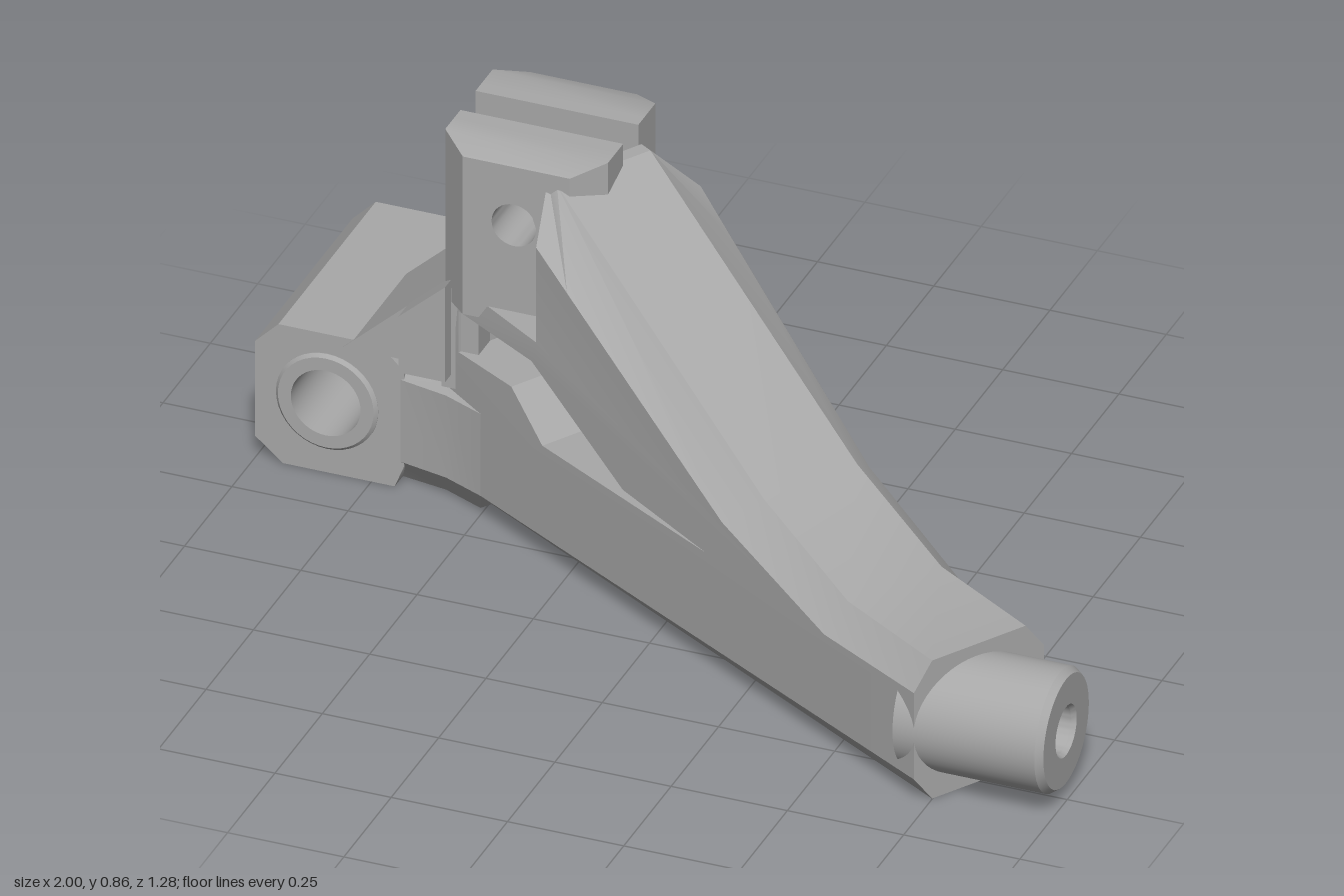
import * as THREE from 'three';
import { toCreasedNormals } from 'three/addons/utils/BufferGeometryUtils.js';

const path = (pts) => pts.map(([x, y]) => new THREE.Vector2(x, y));

const circle = (cx, cy, r, n = 32) =>
  Array.from({ length: n }, (_, i) => {
    const a = (i / n) * Math.PI * 2;
    return [cx + r * Math.cos(a), cy + r * Math.sin(a)];
  });

// Plate of four layers; layers listed in `ends` use the chamfered outline
function chamferPlate(outline, chamfered, hole, layers, ends, rule) {
  const shape = new THREE.Shape(path(outline));
  if (hole) shape.holes.push(new THREE.Path(path(hole)));
  const geo = new THREE.ExtrudeGeometry(shape, { depth: 3, steps: 3, bevelEnabled: false });
  const pos = geo.attributes.position;
  const p = new THREE.Vector3();
  for (let i = 0; i < pos.count; i++) {
    p.fromBufferAttribute(pos, i);
    const k = Math.round(p.z);
    if (ends.includes(k)) {
      const j = outline.findIndex(([x, y]) => Math.hypot(x - p.x, y - p.y) < 1e-4);
      if (j >= 0) [p.x, p.y] = chamfered[j];
    }
    p.z = layers[k];
    if (rule) rule(p, k);
    pos.setXYZ(i, p.x, p.y, p.z);
  }
  return geo;
}

export function createModel() {
  const group = new THREE.Group();
  const grey = new THREE.MeshStandardMaterial({ color: 0xa8a8a8 });
  grey.name = 'grey metal';

  const add = (name, geo) => {
    const mesh = new THREE.Mesh(toCreasedNormals(geo, 0.5), grey);
    mesh.name = name;
    group.add(mesh);
    return mesh;
  };

  // Diagonal arm with its rising web and window, drawn along its length
  const armInner = [[0, 0], [0, 0.32], [-0.285, 0.32], [-0.57, 0.42], [-1.27, 0.81],
    [-1.3, 0.81], [-1.3, 0.5], [-1.56, 0.5], [-1.56, 0]];
  const armOuter = [[0, 0.06], [0, 0.26], [-0.29, 0.26], [-0.62, 0.365], [-1.12, 0.66],
    [-1.22, 0.72], [-1.22, 0.5], [-1.56, 0.5], [-1.56, 0.06]];
  const armWindow = [[-0.67, 0.27], [-0.94, 0.29], [-1.235, 0.45], [-1.47, 0.455],
    [-1.47, 0.36], [-1.3, 0.36], [-1.2, 0.27]];
  const c = 0.85, sn = 0.527;
  add('arm', chamferPlate(armInner, armOuter, armWindow, [-1, -0.115, 0.115, 1], [0, 3], (p, k) => {
    // widen towards the tower, turn onto the diagonal, trim flush with the tower
    const n = k === 0 || k === 3 ? p.z * (0.16 - 0.035 * p.x) : p.z;
    const s = p.x;
    p.x = 0.81 + s * c - n * sn;
    p.z = 0.5 + s * sn + n * c;
    if (p.y > 0.3) {
      p.x = Math.max(p.x, -0.59);
      p.z = Math.max(p.z, -0.42);
    }
  }));

  // Joint between arm and hinge, drawn in plan as (x, -z)
  const joint = chamferPlate(
    [[-0.72, 0.13], [-0.58, 0.1], [-0.49, 0.06], [-0.29, 0.43], [-0.56, 0.6], [-0.68, 0.62], [-0.74, 0.57]].reverse(),
    [[-0.72, 0.17], [-0.6, 0.15], [-0.51, 0.11], [-0.32, 0.39], [-0.55, 0.55], [-0.66, 0.57], [-0.74, 0.54]].reverse(),
    null, [0, 0.06, 0.25, 0.3], [0, 3]);
  add('hingeJoint', joint.rotateX(-Math.PI / 2));

  // Hinge block, bored along z
  const hinge = [[-0.94, 0], [-0.7, 0], [-0.68, 0.05], [-0.68, 0.27], [-0.73, 0.32],
    [-0.95, 0.32], [-1, 0.27], [-1, 0.05]];
  add('hingeBlock', chamferPlate(hinge, hinge, circle(-0.845, 0.165, 0.078),
    [-0.637, -0.45, -0.3, -0.123], []));
  add('hingeBushing', new THREE.LatheGeometry(path([[0.075, -0.265], [0.103, -0.265],
    [0.11, -0.258], [0.11, 0.258], [0.103, 0.265], [0.075, 0.265], [0.075, -0.265]]), 40)
    .rotateX(Math.PI / 2).translate(-0.845, 0.165, -0.38));

  // Slotted tower: two pillars with a cross hole
  const pillar = [[-0.59, 0.47], [-0.24, 0.47], [-0.24, 0.855], [-0.59, 0.855]];
  const pillarEnd = [[-0.53, 0.47], [-0.3, 0.47], [-0.3, 0.835], [-0.53, 0.835]];
  const pinHole = circle(-0.42, 0.7, 0.048);
  add('frontPillar', chamferPlate(pillar, pillarEnd, pinHole, [-0.2, -0.17, -0.12, -0.065], [3]));
  add('backPillar', chamferPlate(pillar, pillarEnd, pinHole, [-0.42, -0.37, -0.31, -0.28], [0]));

  // Column under the tower and the bracing towards the hinge
  add('towerColumn', new THREE.BoxGeometry(0.08, 0.23, 0.32).translate(-0.55, 0.385, -0.26));
  const brace = (name, pts, z0, depth) => add(name, new THREE.ExtrudeGeometry(
    new THREE.Shape(path(pts)), { depth, bevelEnabled: false }).translate(0, 0, z0));
  brace('gusset', [[-0.81, 0.3], [-0.57, 0.3], [-0.57, 0.52]], -0.4, 0.28);
  brace('gussetRib', [[-0.67, 0.3], [-0.57, 0.3], [-0.57, 0.52], [-0.67, 0.43]], -0.13, 0.06);

  // Round boss at the free end with a blind hole
  add('endBoss', new THREE.LatheGeometry(path([[0, 0.68], [0.131, 0.68], [0.131, 0.985],
    [0.12, 1], [0.056, 1], [0.05, 0.99], [0.05, 0.85], [0, 0.85]]), 48)
    .rotateZ(-Math.PI / 2).translate(0, 0.162, 0.506));

  return group;
}
